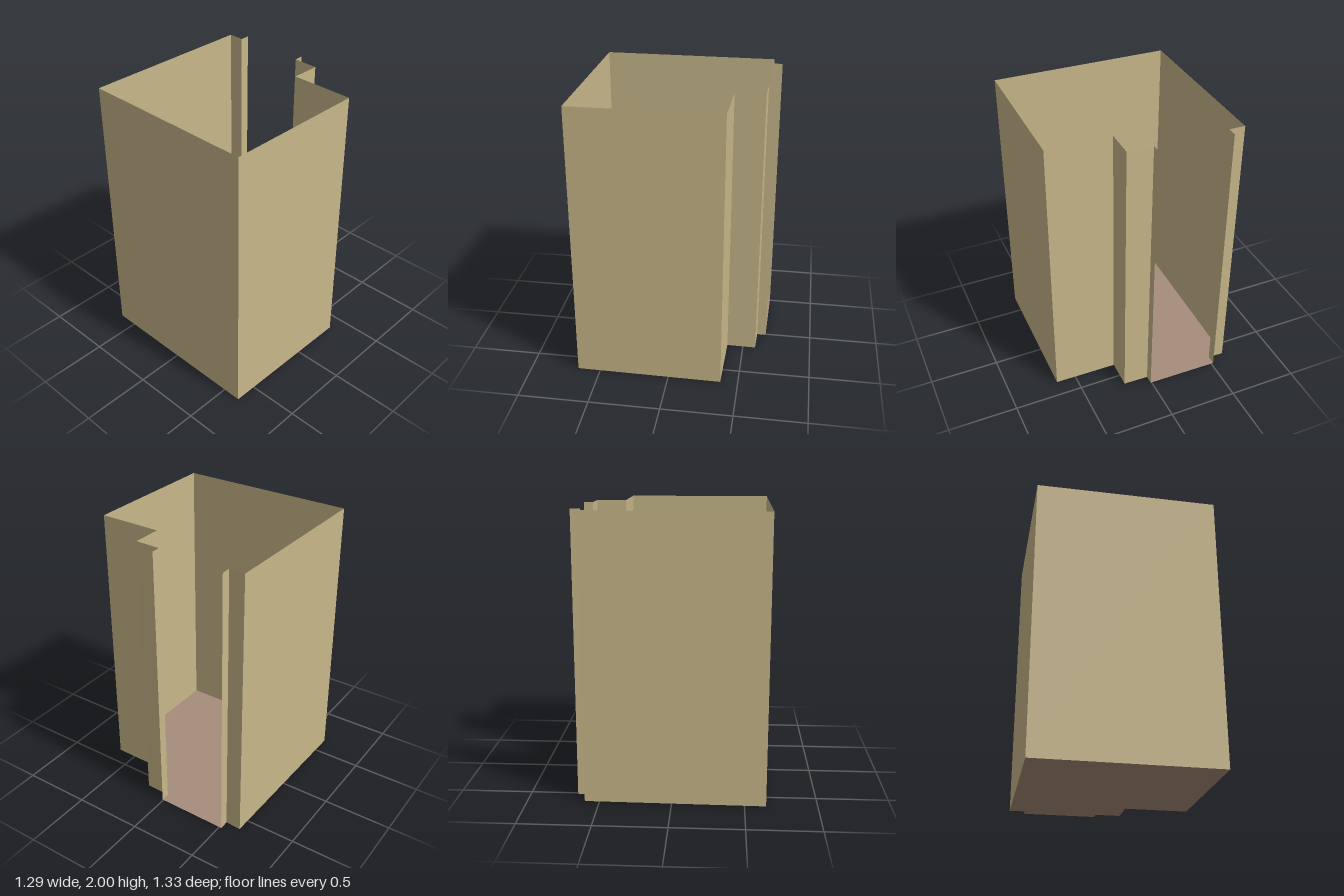
import * as THREE from 'three';

const HEIGHT = 2;

// Floor outline as [x, z], starting at the open side of the bay
const OUTLINE = [
  [0.008, -0.661], [0.008, -0.597], [0.19, -0.592], [0.187, -0.382], [0.645, -0.376],
  [0.635, 0.662], [-0.647, 0.648], [-0.631, -0.603], [-0.517, -0.599], [-0.517, -0.668],
];

// Thin upright panel between two outline points
function makeWall([x0, z0], [x1, z1], material) {
  const wall = new THREE.Mesh(
    new THREE.PlaneGeometry(Math.hypot(x1 - x0, z1 - z0), HEIGHT), material);
  wall.position.set((x0 + x1) / 2, HEIGHT / 2, (z0 + z1) / 2);
  // Clockwise outline in plan, so this turns the panel's front outwards
  wall.rotation.y = Math.atan2(z1 - z0, x0 - x1);
  wall.name = 'wall';
  return wall;
}

export function createModel() {
  const wallPaint = new THREE.MeshStandardMaterial({ color: 0xc8b88a, side: THREE.DoubleSide });
  wallPaint.name = 'sand wall';
  const floorPaint = new THREE.MeshStandardMaterial({ color: 0xa68d7b, side: THREE.DoubleSide });
  floorPaint.name = 'brown floor';

  const room = new THREE.Group();
  room.name = 'room';

  // Floor
  const shape = new THREE.Shape(OUTLINE.map(([x, z]) => new THREE.Vector2(x, -z)));
  const floor = new THREE.Mesh(new THREE.ShapeGeometry(shape).rotateX(-Math.PI / 2), floorPaint);
  floor.name = 'floor';
  room.add(floor);

  // Walls along the outline; the last side, across the bay, stays open
  const walls = new THREE.Group();
  walls.name = 'walls';
  for (let i = 0; i < OUTLINE.length - 1; i++) {
    walls.add(makeWall(OUTLINE[i], OUTLINE[i + 1], wallPaint));
  }
  room.add(walls);

  return room;
}
